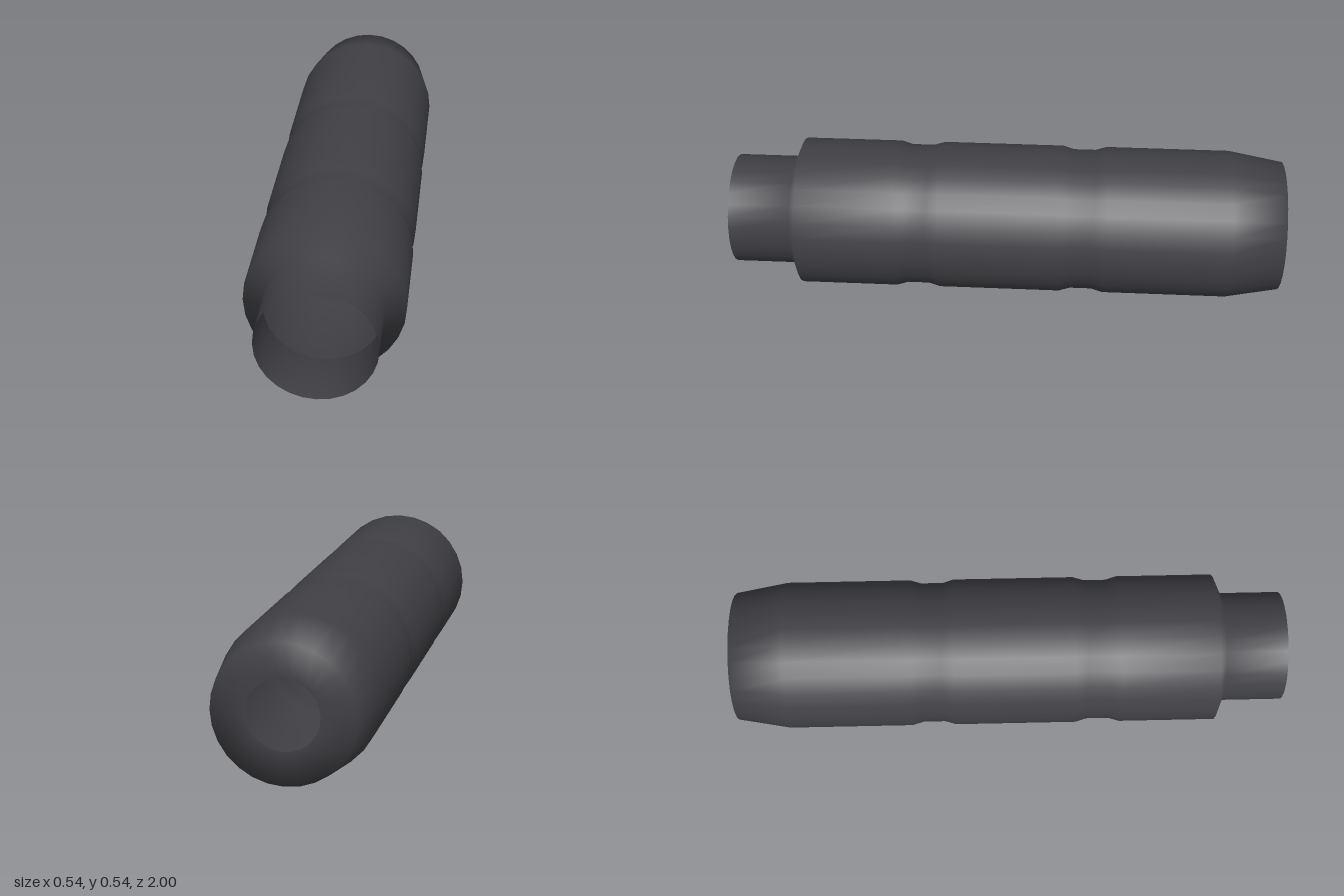
import * as THREE from 'three';

const RADIUS = 0.269;
const GROOVE_RADIUS = 0.257;
const SIDES = 28;

// Shallow ring groove around the body, as [radius, z] pairs from back to front
function groove(z) {
  return [
    [RADIUS, z - 0.08],
    [GROOVE_RADIUS, z - 0.04],
    [GROOVE_RADIUS, z + 0.04],
    [RADIUS, z + 0.08],
  ];
}

export function createModel() {
  const group = new THREE.Group();
  group.name = 'hollowTube';

  const darkGrey = new THREE.MeshStandardMaterial({ color: 0x404045, side: THREE.DoubleSide });
  darkGrey.name = 'darkGrey';

  // Thin open shell: smooth shading runs across every edge
  const profile = [
    [0.12, -1], // rim of the back hole
    [0.235, -1], // back cap
    [RADIUS, -0.81], // back taper
    ...groove(-0.28),
    ...groove(0.32),
    [RADIUS, 0.75],
    [0.199, 0.78], // front shoulder
    [0.199, 1], // open front collar
  ].map(([r, z]) => new THREE.Vector2(r, z));

  const geometry = new THREE.LatheGeometry(profile, SIDES);
  geometry.rotateX(Math.PI / 2); // lathe axis to z
  geometry.translate(0, RADIUS, 0);

  const shell = new THREE.Mesh(geometry, darkGrey);
  shell.name = 'tubeShell';
  group.add(shell);
  return group;
}
